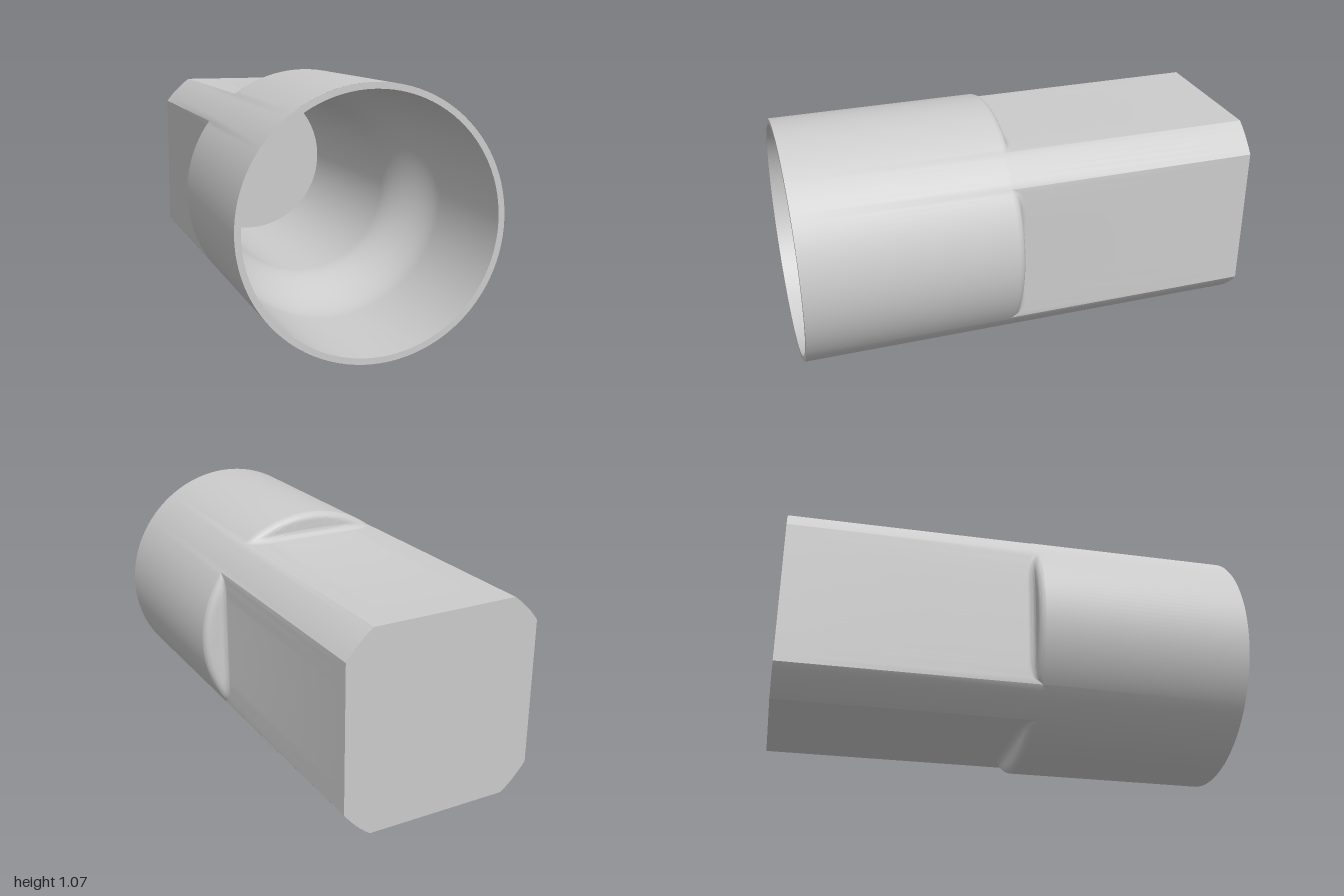
import * as THREE from 'three';
import { toCreasedNormals } from 'three/addons/utils/BufferGeometryUtils.js';

const R = 0.533;          // outer radius of the sleeve
const FLAT = 0.43;        // distance from the axis to each flat
const FILLET = 0.034;     // radius of both shoulder fillets
const SHOULDER = 0.1;     // z where the sleeve starts to round over
const MOUTH = 0.508, BORE = 0.39, FLOOR = -0.92;

// Angles around the axis: four flats with a round corner between each pair
function columnAngles() {
  const half = Math.acos(FLAT / R), list = [];
  for (let k = 0; k < 4; k++) {
    const mid = k * Math.PI / 2;
    for (let i = 0; i < 32; i++) list.push(mid - half + 2 * half * i / 32);
    for (let i = 0; i < 6; i++) list.push(mid + half + (Math.PI / 2 - 2 * half) * i / 6);
  }
  list.push(list[0] + Math.PI * 2);
  return list;
}

// Distance from the axis to the shank surface at an angle
function shankRadius(a) {
  const c = Math.max(Math.abs(Math.cos(a)), Math.abs(Math.sin(a)));
  return Math.min(R, FLAT / c);
}

// [radius, z] from the mouth to the back, through a convex and a concave fillet
function columnProfile(a) {
  const low = shankRadius(a), step = R - low, n = 8;
  const turn = Math.acos(Math.max(0, 1 - step / (2 * FILLET)));
  const pts = [[R, 1]];
  for (let i = 0; i <= n; i++) {
    const t = turn * i / n;
    pts.push([R - FILLET * (1 - Math.cos(t)), SHOULDER - FILLET * Math.sin(t)]);
  }
  const end = SHOULDER - 2 * FILLET * Math.sin(turn);
  for (let i = n; i >= 0; i--) {
    const t = turn * i / n;
    pts.push([low + FILLET * (1 - Math.cos(t)), end + FILLET * Math.sin(t)]);
  }
  pts.push([low, -1]);
  return pts;
}

function outerGeometry(angles) {
  const pos = [], index = [];
  let rows = 0;
  for (const a of angles) {
    const profile = columnProfile(a);
    rows = profile.length;
    for (const [r, z] of profile) pos.push(r * Math.cos(a), r * Math.sin(a), z);
  }
  for (let i = 0; i < angles.length - 1; i++) {
    for (let j = 0; j < rows - 1; j++) {
      const a = i * rows + j, b = a + rows;
      index.push(a, a + 1, b, b, a + 1, b + 1);
    }
  }
  const g = new THREE.BufferGeometry();
  g.setAttribute('position', new THREE.Float32BufferAttribute(pos, 3));
  g.setIndex(index);
  return toCreasedNormals(g, 0.5);
}

// Rim, wide mouth, smooth taper, narrow bore and floor
function boreGeometry() {
  const pts = [new THREE.Vector2(R, 1), new THREE.Vector2(MOUTH, 1)];
  const z0 = 0.46, z1 = 0.06, n = 20;
  for (let i = 0; i <= n; i++) {
    const s = (1 - Math.cos(Math.PI * i / n)) / 2;
    pts.push(new THREE.Vector2(MOUTH + (BORE - MOUTH) * s, z0 + (z1 - z0) * i / n));
  }
  pts.push(new THREE.Vector2(BORE, FLOOR), new THREE.Vector2(0, FLOOR));
  const g = new THREE.LatheGeometry(pts, 96);
  g.rotateX(Math.PI / 2);
  return toCreasedNormals(g, 0.5);
}

export function createModel() {
  const group = new THREE.Group();
  group.name = 'socketAdapter';
  const material = new THREE.MeshStandardMaterial({ color: 0xcccccc });
  const add = (name, geometry) => {
    const mesh = new THREE.Mesh(geometry, material);
    mesh.name = name;
    mesh.position.y = R;
    group.add(mesh);
    return mesh;
  };

  const angles = columnAngles();
  add('sleeveAndShank', outerGeometry(angles));
  add('rimAndBore', boreGeometry());

  // Closed end of the shank
  const outline = angles.slice(0, -1).map(a =>
    new THREE.Vector2(Math.cos(a), Math.sin(a)).multiplyScalar(shankRadius(a)));
  const cap = new THREE.ShapeGeometry(new THREE.Shape(outline));
  cap.rotateY(Math.PI);
  cap.translate(0, 0, -1);
  add('backCap', cap);

  return group;
}
